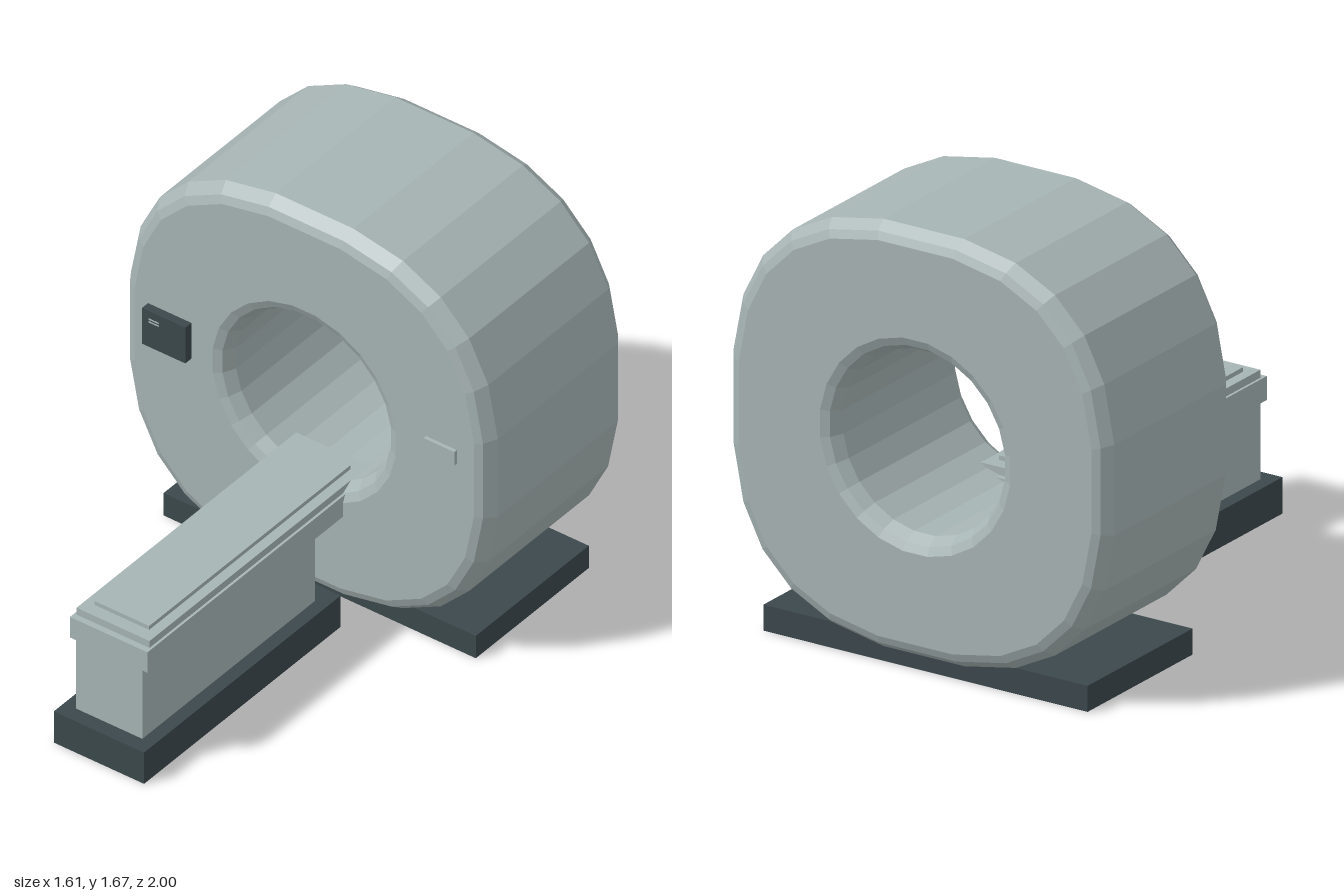
import * as THREE from 'three';

const material = (name, color) => {
  const m = new THREE.MeshStandardMaterial({ color, flatShading: true });
  m.name = name;
  return m;
};

// Faceted ring body: closed loop of cross-sections joined side by side
function loftGeometry(rings) {
  const n = rings[0].length;
  const index = [];
  rings.forEach((_, r) => {
    const a = r * n, b = ((r + 1) % rings.length) * n;
    for (let i = 0; i < n; i++) {
      const j = (i + 1) % n;
      index.push(a + i, a + j, b + j, a + i, b + j, b + i);
    }
  });
  const geometry = new THREE.BufferGeometry();
  geometry.setAttribute('position', new THREE.Float32BufferAttribute(rings.flat(2), 3));
  geometry.setIndex(index);
  const flat = geometry.toNonIndexed();
  flat.computeVertexNormals();
  return flat;
}

export function createModel() {
  const group = new THREE.Group();
  group.name = 'scanner';
  const shell = material('grey green shell', 0xa7b4b4);
  const dark = material('dark slate', 0x3b484c);

  const SIDES = 24, CENTRE_Y = 0.865;
  // Power 1 gives a circle, a smaller power a rounded square
  const ring = (radius, power, z) => Array.from({ length: SIDES }, (_, i) => {
    const t = ((i + 0.5) / SIDES) * Math.PI * 2;
    const bend = (v) => Math.sign(v) * Math.abs(v) ** power * radius;
    return [bend(Math.cos(t)), CENTRE_Y + bend(Math.sin(t)), z];
  });
  const SQUARE = 0.765;

  // Gantry: outside and bore edges rounded in two steps
  const gantry = new THREE.Mesh(loftGeometry([
    ring(0.81, SQUARE, -0.25),
    ring(0.78, SQUARE, -0.203),
    ring(0.75, SQUARE, -0.19),
    ring(0.405, 1, -0.19),
    ring(0.373, 1, -0.205),
    ring(0.347, 1, -0.25),
    ring(0.347, 1, -0.94),
    ring(0.373, 1, -0.985),
    ring(0.405, 1, -1.0),
    ring(0.75, SQUARE, -1.0),
    ring(0.78, SQUARE, -0.987),
    ring(0.81, SQUARE, -0.945),
  ]), shell);
  gantry.name = 'gantry';
  group.add(gantry);

  // Boxes given by their limits on each axis
  const box = (name, mat, [x0, x1], [y0, y1], [z0, z1]) => {
    const mesh = new THREE.Mesh(new THREE.BoxGeometry(x1 - x0, y1 - y0, z1 - z0), mat);
    mesh.position.set((x0 + x1) / 2, (y0 + y1) / 2, (z0 + z1) / 2);
    mesh.name = name;
    group.add(mesh);
  };

  // Floor plates
  box('gantryBase', dark, [-0.685, 0.685], [0, 0.098], [-0.935, -0.28]);
  box('tableBase', dark, [-0.198, 0.198], [0, 0.137], [-0.14, 1]);

  // Patient table, reaching into the bore
  box('tablePedestal', shell, [-0.145, 0.145], [0.137, 0.44], [-0.06, 0.94]);
  box('tableBody', shell, [-0.17, 0.17], [0.44, 0.53], [-0.38, 0.943]);
  box('tableTop', shell, [-0.16, 0.16], [0.53, 0.56], [-0.355, 0.918]);
  box('tablePad', shell, [-0.12, 0.12], [0.56, 0.577], [-0.3, 0.867]);

  // Front controls
  box('displayPanel', dark, [-0.685, -0.495], [0.83, 0.987], [-0.195, -0.155]);
  box('controlPanel', shell, [0.535, 0.67], [0.902, 0.962], [-0.195, -0.175]);

  // Small readout marks on the display
  for (let i = 0; i < 2; i++) {
    const y = 0.938 + i * 0.012;
    box('displayMark', shell, [-0.655, -0.61], [y, y + 0.005], [-0.156, -0.153]);
  }
  return group;
}
